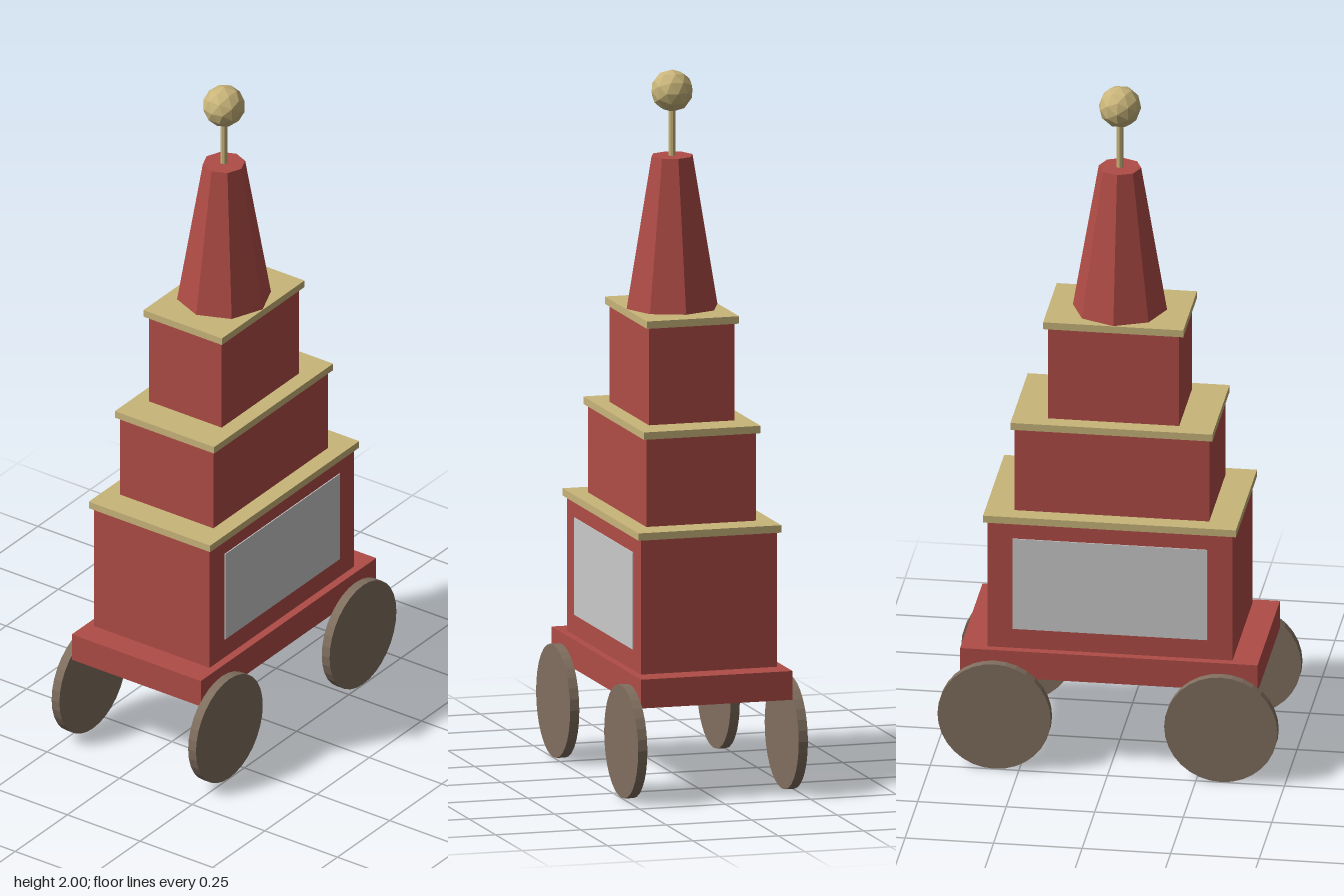
import * as THREE from 'three';

const material = (name, color) => {
  const m = new THREE.MeshStandardMaterial({ color, flatShading: true });
  m.name = name;
  return m;
};

export function createModel() {
  const red = material('red paint', 0xb04c46);
  const tan = material('tan trim', 0xc9b57a);
  const brown = material('brown wheel', 0x806f5f);
  const grey = material('light grey panel', 0xcacaca);

  const model = new THREE.Group();
  model.name = 'wheeledTower';

  const add = (name, geometry, mat, x, y, z) => {
    const mesh = new THREE.Mesh(geometry, mat);
    mesh.name = name;
    mesh.position.set(x, y, z);
    model.add(mesh);
    return mesh;
  };
  // box given by half width, half depth, and its bottom and top heights
  const block = (name, mat, hx, hz, y0, y1) =>
    add(name, new THREE.BoxGeometry(hx * 2, y1 - y0, hz * 2), mat, 0, (y0 + y1) / 2, 0);

  // carriage base
  block('base', red, 0.42, 0.222, 0.27, 0.352);

  // stepped tiers, each capped by a thin overhanging cornice
  const tiers = [
    { hx: 0.346, hz: 0.199, y0: 0.352, y1: 0.735, capX: 0.357, capZ: 0.209 },
    { hx: 0.275, hz: 0.161, y0: 0.757, y1: 1.007, capX: 0.285, capZ: 0.171 },
    { hx: 0.185, hz: 0.125, y0: 1.028, y1: 1.305, capX: 0.198, capZ: 0.135 },
  ];
  tiers.forEach((t, i) => {
    block(`tier${i + 1}`, red, t.hx, t.hz, t.y0, t.y1);
    block(`cornice${i + 1}`, tan, t.capX, t.capZ, t.y1, t.y1 + 0.021);
  });

  // octagonal spire, pole and faceted ball
  add('spire', new THREE.CylinderGeometry(0.06, 0.133, 0.43, 8), red, 0, 1.541, 0);
  add('pole', new THREE.CylinderGeometry(0.01, 0.01, 0.15, 8), tan, 0, 1.825, 0);
  add('ball', new THREE.IcosahedronGeometry(0.06, 1), tan, 0, 1.94, 0);

  // panels and wheels on the front and back
  for (const sz of [1, -1]) {
    const face = sz > 0 ? 'front' : 'back';
    add(`${face}Panel`, new THREE.BoxGeometry(0.55, 0.276, 0.006), grey, 0, 0.549, sz * 0.199);
    for (const sx of [1, -1]) {
      const side = sx > 0 ? 'Left' : 'Right';
      const wheel = add(`${face}${side}Wheel`,
        new THREE.CylinderGeometry(0.16, 0.16, 0.027, 32), brown, sx * 0.32, 0.16, sz * 0.235);
      wheel.rotation.x = Math.PI / 2;
    }
  }
  return model;
}
